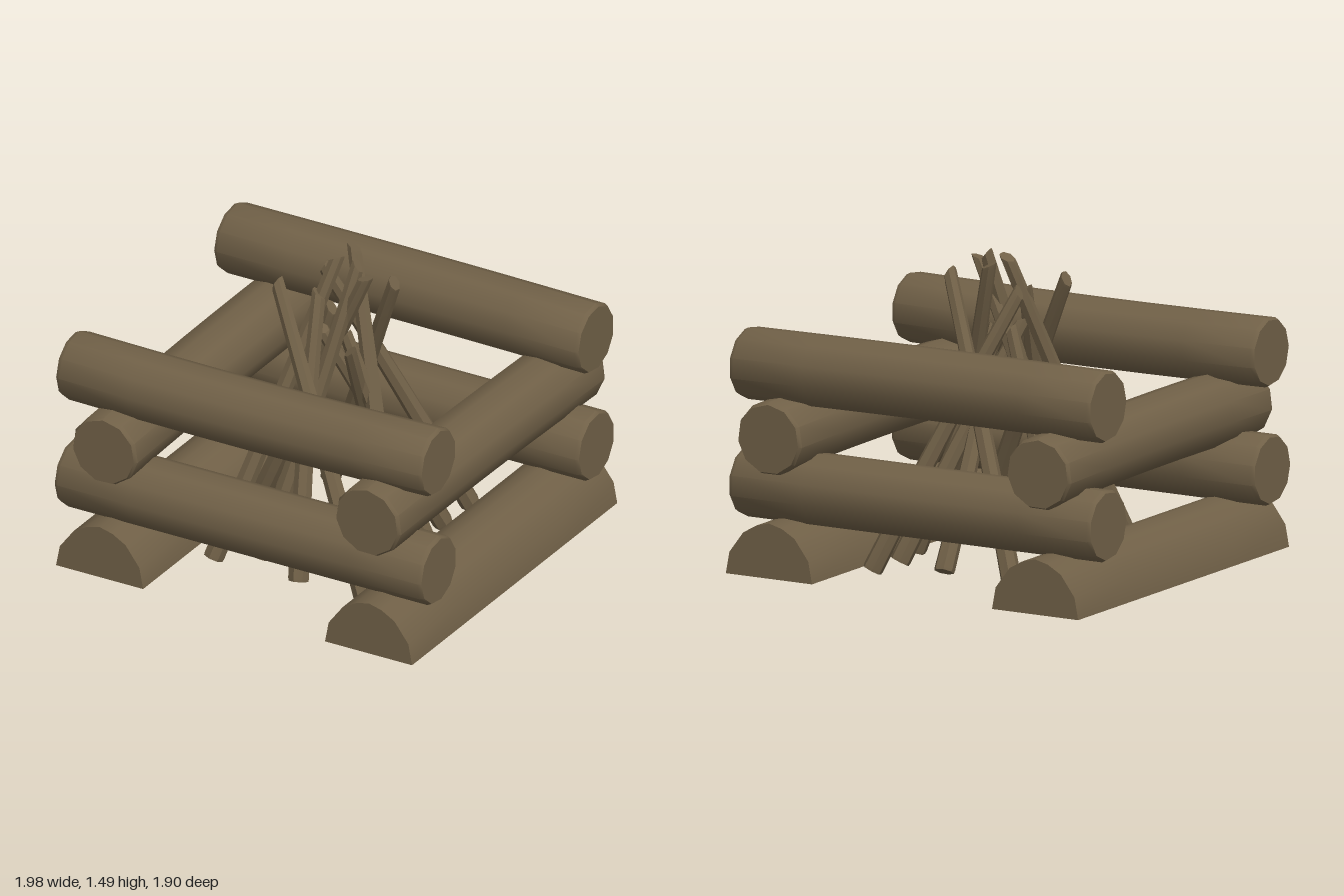
import * as THREE from 'three';
import { toCreasedNormals } from 'three/addons/utils/BufferGeometryUtils.js';

const bark = new THREE.MeshStandardMaterial({ color: 0x706047 });
bark.name = 'brown bark';

const UP = new THREE.Vector3(0, 1, 0);

// Round timber from a to b: tapered, slightly bowed, with worn rims and slanted ends
function timber(name, a, b, r0, r1, { sides = 11, bow = [0, 0, 0], rim = 0.02, slant = [0, 0] } = {}) {
  const start = new THREE.Vector3(...a), end = new THREE.Vector3(...b);
  const dir = end.clone().sub(start), length = dir.length();
  const geo = new THREE.CylinderGeometry(1, 1, 1, sides, 8);
  const turn = new THREE.Quaternion().setFromUnitVectors(UP, dir.normalize());
  const stops = [0, rim / length, 0.2, 0.35, 0.5, 0.65, 0.8, 1 - rim / length, 1];
  const p = geo.attributes.position, v = new THREE.Vector3();
  for (let i = 0; i < p.count; i++) {
    v.fromBufferAttribute(p, i);
    const ring = Math.round((v.y + 0.5) * 8), t = stops[ring];
    const atEnd = ring === 0 || ring === 8;
    const r = (r0 + (r1 - r0) * t) * (atEnd ? 0.94 : 1);
    const lean = ring < 2 ? slant[0] : ring > 6 ? slant[1] : 0;
    v.set(v.x * r, t * length + lean * v.x * r, v.z * r).applyQuaternion(turn).add(start);
    v.addScaledVector(new THREE.Vector3(...bow), Math.sin(Math.PI * t));
    p.setXYZ(i, v.x, v.y, v.z);
  }
  const mesh = new THREE.Mesh(toCreasedNormals(geo, 0.7), bark);
  mesh.name = name;
  return mesh;
}

// Split log lying on its flat face
function halfLog(name, x, z0, z1) {
  const outline = [[-0.235, 0.035], [0.235, 0.035], [0.215, 0.14], [0.14, 0.24], [0.07, 0.28],
    [0, 0.298], [-0.07, 0.28], [-0.14, 0.24], [-0.215, 0.14]];
  const shape = new THREE.Shape(outline.map(([px, py]) => new THREE.Vector2(px, py)));
  const geo = new THREE.ExtrudeGeometry(shape, { depth: z1 - z0, bevelEnabled: false, steps: 4 });
  const mesh = new THREE.Mesh(toCreasedNormals(geo, 0.7), bark);
  mesh.position.set(x, 0, z0);
  mesh.name = name;
  return mesh;
}

export function createModel() {
  const model = new THREE.Group();
  model.name = 'campfire';

  // Stacked log frame, alternating direction at each level
  const frame = new THREE.Group();
  frame.name = 'logFrame';
  frame.add(
    halfLog('rightHalfLog', -0.727, -0.95, 0.93),
    halfLog('leftHalfLog', 0.737, -0.93, 0.95),
    timber('lowerFrontLog', [-0.99, 0.44, 0.735], [0.99, 0.44, 0.735], 0.17, 0.17),
    timber('lowerBackLog', [-0.98, 0.44, -0.71], [0.99, 0.44, -0.71], 0.172, 0.172),
    timber('middleRightLog', [-0.7, 0.705, 0.94], [-0.735, 0.7, -0.94], 0.174, 0.174, { bow: [0, 0.012, 0] }),
    timber('middleLeftLog', [0.722, 0.715, 0.94], [0.735, 0.7, -0.94], 0.178, 0.176, { bow: [0, 0.012, 0] }),
    timber('upperFrontLog', [-0.985, 1.0, 0.735], [0.98, 1.0, 0.72], 0.167, 0.167,
      { bow: [0, -0.01, 0.005] }),
    timber('upperBackLog', [-0.985, 1.01, -0.72], [0.985, 1.0, -0.715], 0.172, 0.172, { bow: [0, 0.005, 0] }),
  );
  model.add(frame);

  // Kindling leaning together: base x, z, then tip x, y, z
  const kindling = new THREE.Group();
  kindling.name = 'kindling';
  const sticks = [
    [-0.30, -0.46, 0.27, 1.39, -0.08],
    [0.40, -0.56, -0.14, 1.35, -0.13],
    [-0.42, -0.18, -0.08, 1.16, -0.10],
    [-0.45, 0.00, 0.19, 1.45, 0.05],
    [0.39, -0.33, -0.02, 1.16, 0.10],
    [0.45, -0.09, 0.08, 1.12, 0.04],
    [0.43, 0.20, 0.00, 1.47, -0.17],
    [0.45, 0.50, -0.22, 1.37, 0.16],
    [0.10, 0.51, -0.05, 1.32, 0.07],
    [-0.36, 0.51, 0.00, 1.48, -0.01],
    [-0.17, 0.39, 0.12, 1.48, 0.00],
    [0.10, -0.41, 0.16, 1.10, 0.14],
  ];
  sticks.forEach(([bx, bz, tx, ty, tz], i) => {
    kindling.add(timber('stick' + (i + 1), [bx, 0.045, bz], [tx, ty, tz], 0.05, 0.033, {
      sides: 7, rim: 0.015, slant: [0, i % 2 ? 0.8 : -0.8],
      bow: [0.012 * Math.sin(i * 2.1), 0, 0.012 * Math.cos(i * 1.7)],
    }));
  });
  model.add(kindling);
  return model;
}
